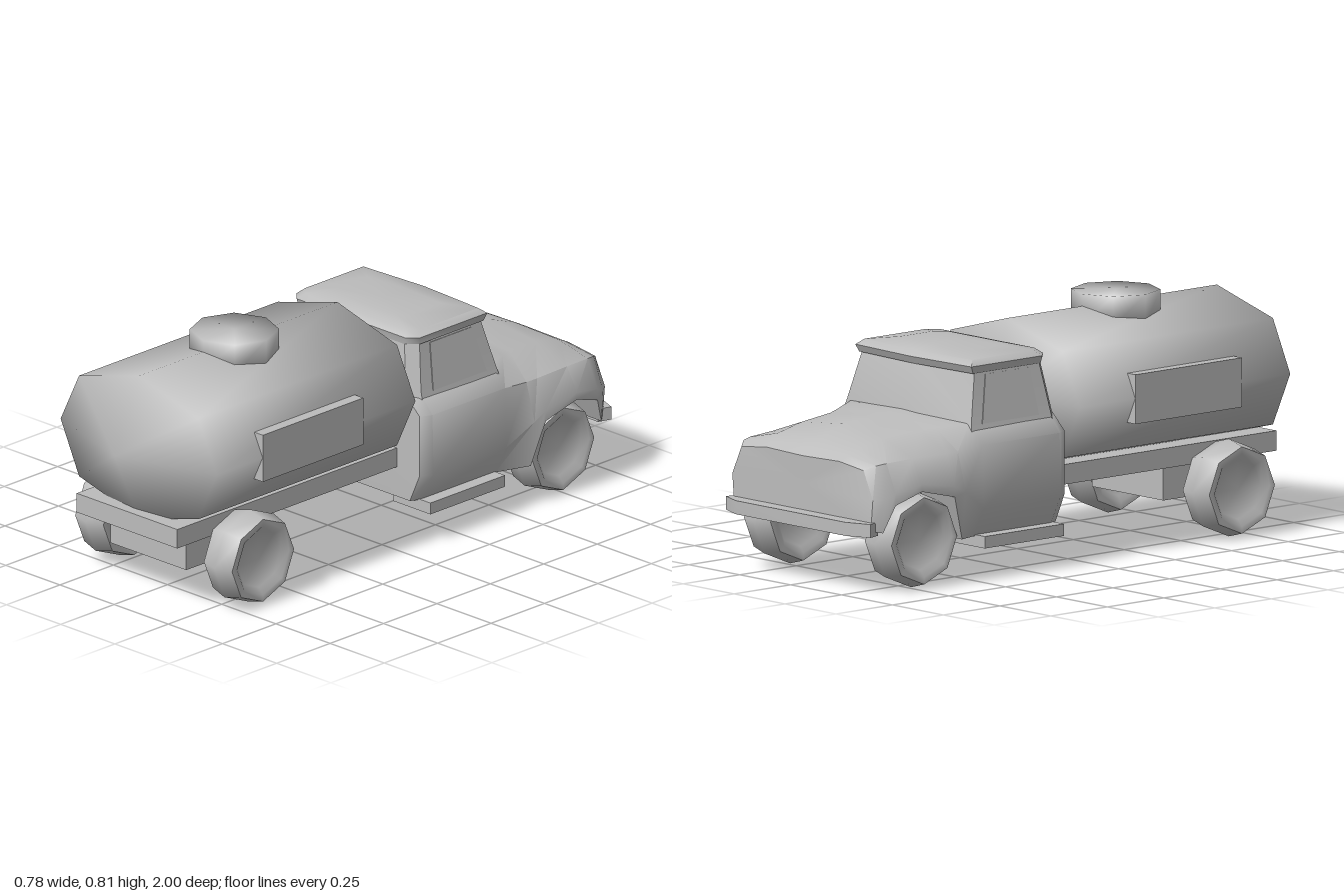
import * as THREE from 'three';
import { toCreasedNormals } from 'three/addons/utils/BufferGeometryUtils.js';

// Skin through equal-length rings of [x, y, z]; each end closes to a point.
// Rings run counter-clockwise as seen facing the start cap.
function loft(rings, startTip, endTip, crease) {
  const n = rings[0].length;
  const pos = [...rings.flat(), startTip, endTip].flat();
  const s = rings.length * n, e = s + 1, last = (rings.length - 1) * n;
  const index = [];
  for (let i = 0; i < rings.length - 1; i++) {
    for (let j = 0; j < n; j++) {
      const k = (j + 1) % n;
      const a = i * n + j, b = i * n + k, c = b + n, d = a + n;
      index.push(a, d, c, a, c, b);
    }
  }
  for (let j = 0; j < n; j++) {
    const k = (j + 1) % n;
    index.push(s, j, k, e, last + k, last + j);
  }
  const geo = new THREE.BufferGeometry();
  geo.setAttribute('position', new THREE.Float32BufferAttribute(pos, 3));
  geo.setIndex(index);
  return toCreasedNormals(geo, crease);
}

// Half outline from bottom centre to top centre, mirrored into a full ring.
function mirrorRing(half, z) {
  const left = half.slice(1, -1).reverse().map(([x, y]) => [-x, y]);
  return [...half, ...left].map(([x, y]) => [x, y, z]);
}

// Horizontal cab ring with chamfered rear corners and a bowed front.
function cabRing(y, w, back, front, bow) {
  const c = 0.035;
  return [[w, front], [w, back - c], [w - c, back], [c - w, back],
    [-w, back - c], [-w, front], [0, front - bow]].map(([x, z]) => [x, y, z]);
}

export function createModel() {
  const truck = new THREE.Group();
  truck.name = 'tankTruck';
  const grey = new THREE.MeshStandardMaterial({ color: 0xbcbcbc });
  grey.name = 'grey';

  const add = (name, geo, x = 0, y = 0, z = 0) => {
    const mesh = new THREE.Mesh(geo, grey);
    mesh.name = name;
    mesh.position.set(x, y, z);
    truck.add(mesh);
    return mesh;
  };
  const box = (name, x0, x1, y0, y1, z0, z1) => add(name,
    new THREE.BoxGeometry(x1 - x0, y1 - y0, z1 - z0),
    (x0 + x1) / 2, (y0 + y1) / 2, (z0 + z1) / 2);

  // Tank with pointed ends
  const tankHalf = [[0, 0.272], [0.275, 0.345], [0.36, 0.525], [0.275, 0.7], [0, 0.775]];
  add('tank', loft([mirrorRing(tankHalf, 0.885), mirrorRing(tankHalf, -0.045)],
    [0, 0.525, 1], [0, 0.525, -0.07], Math.PI));
  add('tankHatch', toCreasedNormals(new THREE.CylinderGeometry(0.147, 0.147, 0.1, 8), Math.PI),
    0, 0.765, 0.437);

  // Chassis
  box('chassis', -0.232, 0.232, 0.245, 0.312, -0.2, 0.94);
  box('rearAxleBox', -0.175, 0.175, 0.125, 0.246, 0.49, 0.84);

  // Lower cab, bonnet and wheel arches:
  // z, floor, arch, sill x, side x, side y, shoulder x, y, top x, y, centre y
  const stations = [
    [-0.09, 0.14, 0.14, 0.29, 0.335, 0.24, 0.335, 0.45, 0.27, 0.51, 0.52],
    [-0.13, 0.13, 0.14, 0.31, 0.36, 0.24, 0.355, 0.45, 0.29, 0.52, 0.53],
    [-0.47, 0.13, 0.14, 0.31, 0.36, 0.24, 0.355, 0.45, 0.29, 0.515, 0.53],
    [-0.575, 0.13, 0.15, 0.37, 0.388, 0.31, 0.35, 0.44, 0.24, 0.505, 0.525],
    [-0.625, 0.14, 0.3, 0.39, 0.39, 0.335, 0.35, 0.44, 0.22, 0.5, 0.52],
    [-0.77, 0.17, 0.335, 0.39, 0.39, 0.36, 0.345, 0.44, 0.2, 0.49, 0.51],
    [-0.877, 0.19, 0.3, 0.38, 0.38, 0.34, 0.335, 0.435, 0.2, 0.465, 0.47],
    [-0.915, 0.2, 0.21, 0.36, 0.368, 0.32, 0.325, 0.43, 0.19, 0.447, 0.45],
    [-0.947, 0.21, 0.215, 0.335, 0.345, 0.32, 0.3, 0.415, 0.18, 0.43, 0.425],
  ];
  const bodyRings = stations.map(([z, fl, ar, bx, mx, my, sx, sy, tx, ty, cy]) => mirrorRing(
    [[0, fl], [0.22, fl], [0.222, ar], [bx, ar], [mx, my], [sx, sy], [tx, ty], [0, cy]], z));
  add('cabBody', loft(bodyRings, [0, 0.33, -0.085], [0, 0.33, -0.945], 0.85));

  // Upper cab and overhanging roof
  add('cabUpper', loft([cabRing(0.45, 0.325, -0.087, -0.49, 0.02),
    cabRing(0.52, 0.305, -0.092, -0.475, 0.035), cabRing(0.68, 0.275, -0.115, -0.435, 0.02)],
  [0, 0.45, -0.3], [0, 0.68, -0.3], 0.7));
  add('roof', loft([cabRing(0.675, 0.28, -0.112, -0.445, 0.015),
    cabRing(0.7, 0.285, -0.108, -0.457, 0.015), cabRing(0.718, 0.265, -0.13, -0.435, 0.015),
    cabRing(0.73, 0.17, -0.18, -0.36, 0.01)],
  [0, 0.675, -0.28], [0, 0.733, -0.25], 0.85));

  // Front bumper with swept ends
  const bumperRing = (y) => [[0.355, -0.967], [0.34, -0.92], [-0.34, -0.92],
    [-0.355, -0.967], [-0.27, -1], [0.27, -1]].map(([x, z]) => [x, y, z]);
  add('bumper', loft([bumperRing(0.2), bumperRing(0.245)],
    [0, 0.2, -0.96], [0, 0.245, -0.96], 0.6));

  // Slanted side window pane, drawn in z and y
  const pane = new THREE.Shape([[-0.18, 0.51], [-0.43, 0.51], [-0.39, 0.67], [-0.195, 0.67]]
    .map(([z, y]) => new THREE.Vector2(-z, y - 0.51)));

  // Wheel profile from inner to outer side: radius, width
  const wheelGeo = toCreasedNormals(new THREE.LatheGeometry(
    [[0, -0.05], [0.1, -0.05], [0.12, -0.065], [0.145, -0.065], [0.163, 0],
      [0.145, 0.065], [0.122, 0.065], [0.1, 0.045], [0, 0.045]]
      .map(([r, y]) => new THREE.Vector2(r, y)), 8), 1);

  for (const side of [1, -1]) {
    const label = side > 0 ? 'left' : 'right';
    const span = (a, b) => (side > 0 ? [a, b] : [-b, -a]);

    for (const [end, z] of [['Front', -0.735], ['Rear', 0.67]]) {
      add(`${label}${end}Wheel`, wheelGeo, side * 0.297, 0.163, z)
        .rotation.z = -side * Math.PI / 2;
    }
    box(`${label}TankPanel`, ...span(0.3, 0.361), 0.44, 0.605, 0.2, 0.67);
    box(`${label}Step`, ...span(0.19, 0.36), 0.105, 0.145, -0.465, -0.115);

    const glass = new THREE.ExtrudeGeometry(pane, { depth: 0.006, bevelEnabled: false });
    glass.rotateY(Math.PI / 2).translate(-0.003, 0, 0);
    glass.rotateZ(side * 0.185);
    add(`${label}Window`, glass, side * 0.3065, 0.51, 0);
  }
  return truck;
}
